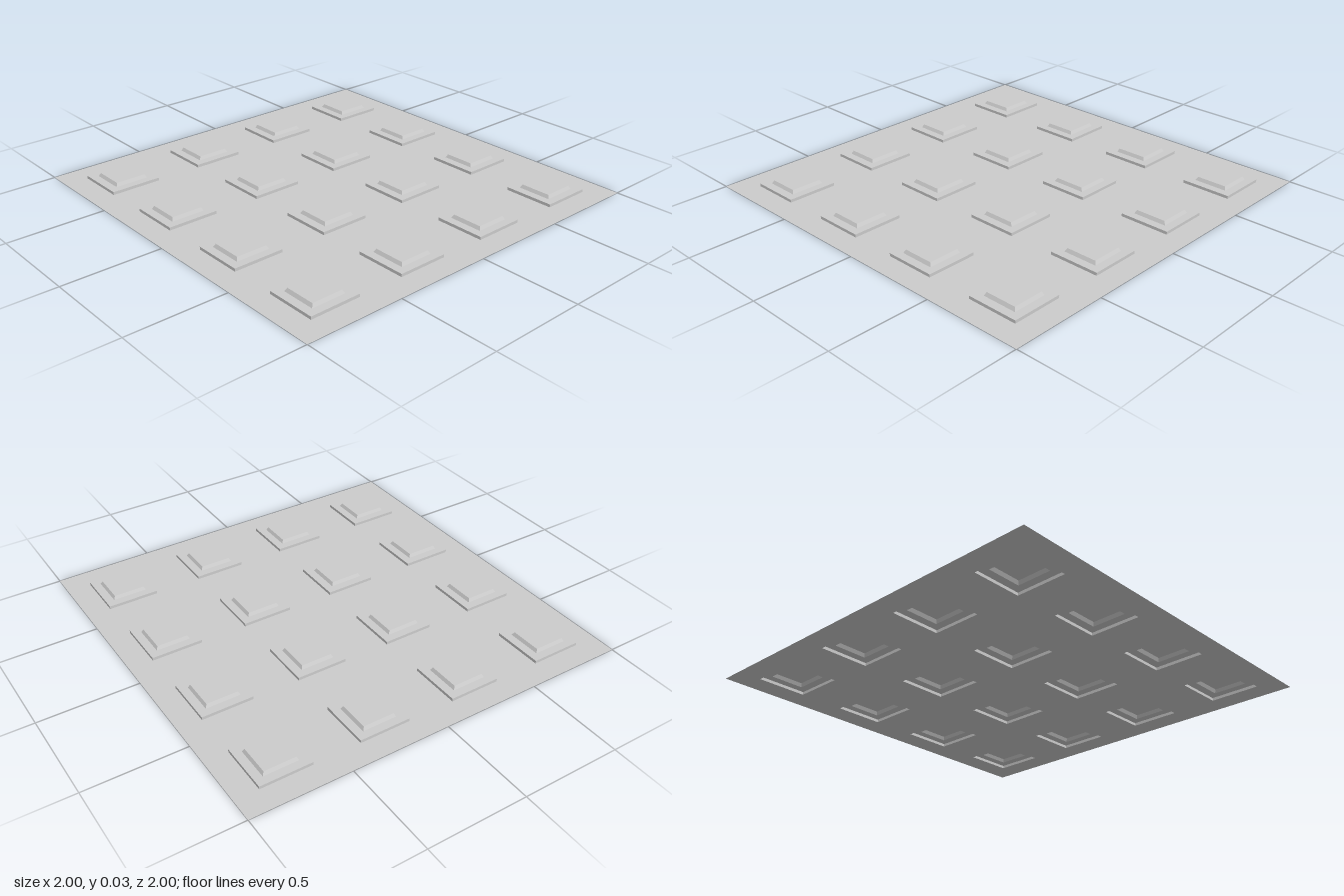
import * as THREE from 'three';

const material = new THREE.MeshStandardMaterial({ color: 0xcccccc, flatShading: true, side: THREE.DoubleSide });
const PITCH = 0.5;
const FOOT = 0.13; // half width of each raised pad

// Square outline, traced on a Shape or Path
function square(path, x, y, half) {
  path.moveTo(x - half, y - half);
  path.lineTo(x + half, y - half);
  path.lineTo(x + half, y + half);
  path.lineTo(x - half, y + half);
  path.closePath();
  return path;
}

export function createModel() {
  const group = new THREE.Group();
  group.name = 'embossedPanel';

  const centres = [];
  for (let row = 0; row < 4; row++) {
    for (let col = 0; col < 4; col++) centres.push([(col - 1.5) * PITCH, (row - 1.5) * PITCH]);
  }

  // Thin sheet, open beneath every pad
  const outline = square(new THREE.Shape(), 0, 0, 1);
  for (const [x, z] of centres) outline.holes.push(square(new THREE.Path(), x, -z, FOOT));
  const sheet = new THREE.Mesh(new THREE.ShapeGeometry(outline).rotateX(-Math.PI / 2), material);
  sheet.name = 'sheet';
  group.add(sheet);

  // Hollow stepped pad: half width and height, swept around four sides
  const profile = [[FOOT, 0], [FOOT, 0.015], [0.088, 0.015], [0.079, 0.032], [0, 0.032]]
    .map(([half, y]) => new THREE.Vector2(half * Math.SQRT2, y));
  const padGeometry = new THREE.LatheGeometry(profile, 4, Math.PI / 4);
  for (const [x, z] of centres) {
    const pad = new THREE.Mesh(padGeometry, material);
    pad.name = 'raisedPad';
    pad.position.set(x, 0, z);
    group.add(pad);
  }
  return group;
}
